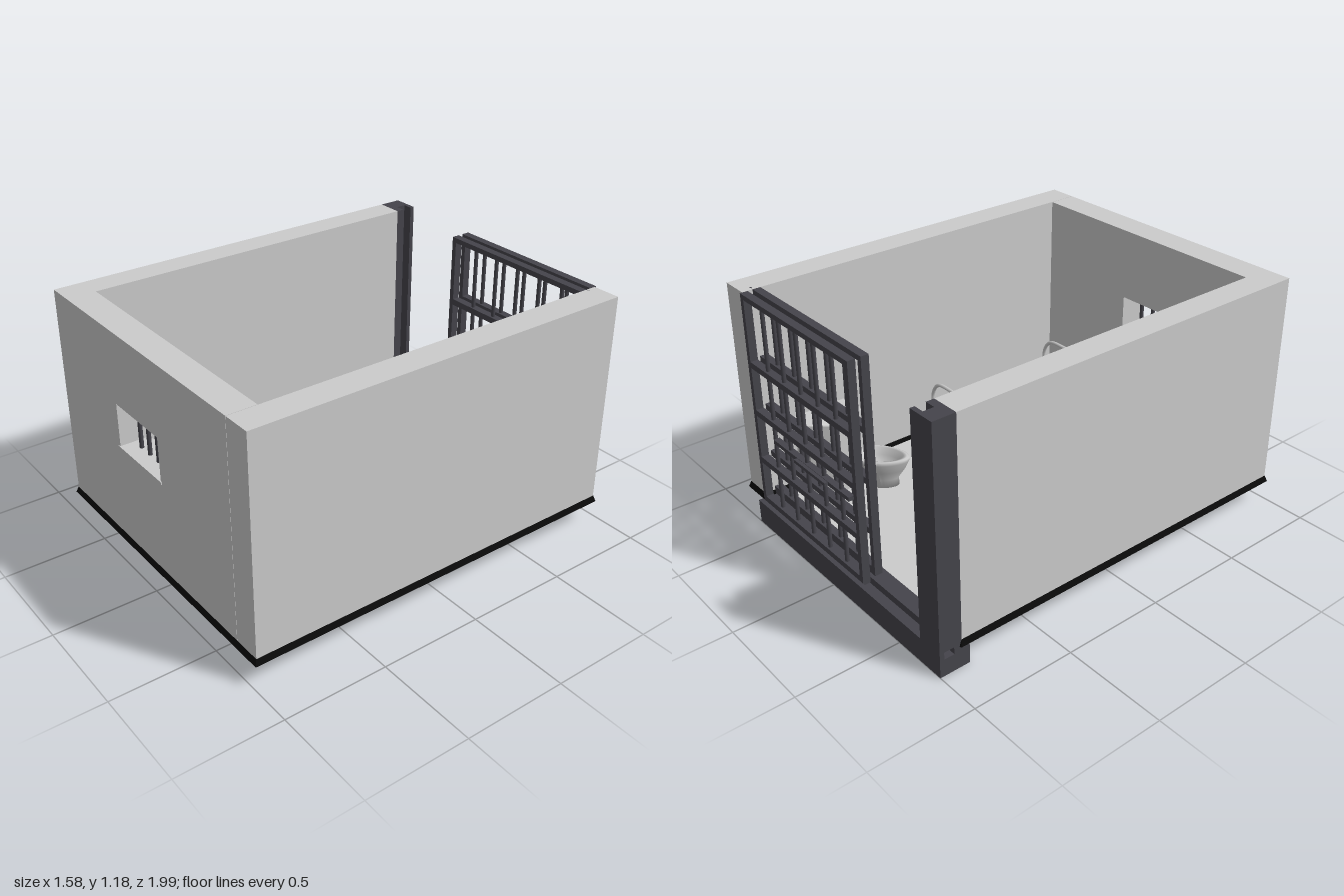
import * as THREE from 'three';

const mat = (color, side = THREE.FrontSide) => new THREE.MeshStandardMaterial({ color, side });
const grey = mat(0xcccccc);
const greyOpen = mat(0xcccccc, THREE.DoubleSide);
const steel = mat(0x45444b);
const black = mat(0x0a0a0a);
const blanketMat = mat(0x53535b);
const wood = mat(0xe0ad8e);

const FLOOR = 0.118, TOP = 1.18;

function add(parent, name, geometry, material) {
  const m = new THREE.Mesh(geometry, material);
  m.name = name;
  parent.add(m);
  return m;
}

// Box given by its limits on each axis
function box(parent, name, material, [x0, x1], [y0, y1], [z0, z1]) {
  const g = new THREE.BoxGeometry(x1 - x0, y1 - y0, z1 - z0);
  g.translate((x0 + x1) / 2, (y0 + y1) / 2, (z0 + z1) / 2);
  return add(parent, name, g, material);
}

// Upright round bar
function rod(parent, name, material, x, z, y0, y1, r) {
  const g = new THREE.CylinderGeometry(r, r, y1 - y0, 12);
  g.translate(x, (y0 + y1) / 2, z);
  return add(parent, name, g, material);
}

const polygon = pts => new THREE.Shape(pts.map(([a, b]) => new THREE.Vector2(a, b)));

// Raise a floor plan (shape y = -z) from y0 to y1
function raise(shape, y0, y1) {
  const g = new THREE.ExtrudeGeometry(shape, { depth: y1 - y0, bevelEnabled: false, curveSegments: 32 });
  return g.rotateX(-Math.PI / 2).translate(0, y0, 0);
}

// Black footing, flared outwards at its base
function footing(parent, [x0, x1], [z0, z1]) {
  const w = x1 - x0, d = z1 - z0, f = 0.01;
  const g = new THREE.BoxGeometry(w + 0.002, 0.03, d + 0.002);
  const p = g.attributes.position;
  for (let i = 0; i < p.count; i++) {
    if (p.getY(i) > 0) continue;
    p.setX(i, p.getX(i) + Math.sign(p.getX(i)) * f);
    p.setZ(i, p.getZ(i) + Math.sign(p.getZ(i)) * f);
  }
  g.computeVertexNormals();
  g.translate((x0 + x1) / 2, 0.125, (z0 + z1) / 2);
  add(parent, 'footing', g, black);
}

function buildRoom(root) {
  const room = new THREE.Group();
  room.name = 'room';
  root.add(room);
  box(room, 'floor', grey, [-0.66, 0.65], [0.112, FLOOR], [-0.86, 0.85]);
  box(room, 'rightWall', grey, [-0.78, -0.65], [0.125, TOP], [-0.89, 0.84]);
  box(room, 'leftWall', grey, [0.642, 0.78], [0.125, TOP], [-0.96, 0.98]);
  footing(room, [-0.78, -0.65], [-0.89, 0.98]);
  footing(room, [0.642, 0.78], [-0.96, 0.98]);
  footing(room, [-0.78, 0.78], [0.84, 0.98]);

  // Front wall with a window opening
  const wall = polygon([[-0.78, 0.125], [0.64, 0.125], [0.64, TOP], [-0.78, TOP]]);
  wall.holes.push(polygon([[-0.26, 0.615], [-0.26, 0.83], [0.093, 0.83], [0.093, 0.615]]));
  const g = new THREE.ExtrudeGeometry(wall, { depth: 0.14, bevelEnabled: false });
  add(room, 'frontWall', g.translate(0, 0, 0.84), grey);
  box(room, 'windowSill', grey, [-0.268, 0.101], [0.607, 0.62], [0.835, 0.985]);
  for (let i = 0; i < 4; i++) rod(room, 'windowBar', steel, -0.195 + i * 0.075, 0.91, 0.61, 0.835, 0.01);
}

// One barred panel of the gate
function gatePanel(root, name, x0, x1, z, y0) {
  const panel = new THREE.Group();
  panel.name = name;
  root.add(panel);
  const h = 0.019;
  box(panel, 'topRail', steel, [x0, x1], [TOP - 0.025, TOP], [z - h, z + h]);
  box(panel, 'bottomRail', steel, [x0, x1], [y0, y0 + 0.04], [z - h, z + h]);
  for (const y of [0.345, 0.595, 0.84]) box(panel, 'crossBar', steel, [x0, x1], [y - 0.015, y + 0.015], [z - h, z + h]);
  for (const x of [x0, x1 - 0.024]) box(panel, 'stile', steel, [x, x + 0.024], [y0, TOP], [z - h, z + h]);
  const n = 6;
  for (let i = 1; i < n; i++) {
    rod(panel, 'bar', steel, x0 + 0.012 + i * (x1 - x0 - 0.024) / n, z, y0 + 0.02, TOP - 0.01, 0.01);
  }
  return panel;
}

function buildGate(root) {
  // Threshold beam with its runner groove (profile is -z, y)
  const beam = polygon([[0.85, 0], [1, 0], [1, 0.12], [0.978, 0.12], [0.978, 0.085],
    [0.928, 0.085], [0.928, 0.12], [0.85, 0.12]]);
  const bg = new THREE.ExtrudeGeometry(beam, { depth: 1.42, bevelEnabled: false });
  add(root, 'threshold', bg.rotateY(Math.PI / 2).translate(-0.78, 0, 0), steel);

  // Grooved door post
  const post = polygon([[-0.78, 0.89], [-0.65, 0.89], [-0.65, 0.928], [-0.7, 0.928],
    [-0.7, 0.978], [-0.65, 0.978], [-0.65, 1], [-0.78, 1]]);
  add(root, 'doorPost', raise(post, 0.12, TOP), steel);

  const outer = gatePanel(root, 'outerGate', -0.2, 0.64, -0.953, 0.1);
  gatePanel(root, 'innerGate', -0.2, 0.672, -0.89, 0.12);
  // Serving slot rail and ledge
  box(outer, 'slotRail', steel, [-0.13, 0.48], [0.495, 0.515], [-0.97, -0.94]);
  box(outer, 'slotLedge', steel, [0.03, 0.28], [0.497, 0.513], [-0.987, -0.94]);
}

function buildBed(root) {
  const bed = new THREE.Group();
  bed.name = 'bed';
  root.add(bed);
  // Hooped ends
  const pts = [[0.282, 0.106], [0.282, 0.25], [0.282, 0.37], [0.325, 0.43], [0.435, 0.44],
    [0.545, 0.43], [0.588, 0.37], [0.588, 0.25], [0.588, 0.106]];
  for (const z of [0.002, 0.758]) {
    const curve = new THREE.CatmullRomCurve3(pts.map(([x, y]) => new THREE.Vector3(x, y, z)));
    add(bed, 'bedEnd', new THREE.TubeGeometry(curve, 48, 0.009, 8), grey);
  }
  box(bed, 'bedFrame', grey, [0.28, 0.592], [0.24, 0.262], [0, 0.76]);
  box(bed, 'mattress', grey, [0.276, 0.596], [0.262, 0.315], [0.01, 0.75]);
  box(bed, 'blanket', blanketMat, [0.272, 0.6], [0.258, 0.321], [0.04, 0.7]);
}

function buildWashUnit(root) {
  const unit = new THREE.Group();
  unit.name = 'washUnit';
  root.add(unit);
  // Faceted cabinet with a basin sunk in its top
  const plan = polygon([[0.645, 0.48], [0.645, 0.77], [0.52, 0.77], [0.45, 0.68], [0.45, 0.55], [0.51, 0.48]]);
  const lower = plan.clone();
  add(unit, 'cabinet', raise(lower, FLOOR, 0.39), grey);
  const hole = new THREE.Path();
  hole.absellipse(0.53, 0.625, 0.072, 0.105, 0, Math.PI * 2, true);
  plan.holes.push(hole);
  add(unit, 'cabinetTop', raise(plan, 0.39, 0.49), grey);
  const bowl = new THREE.SphereGeometry(1, 32, 12, 0, Math.PI * 2, Math.PI / 2, Math.PI / 2);
  add(unit, 'basin', bowl.scale(0.073, 0.09, 0.106).translate(0.53, 0.488, -0.625), greyOpen);

  // Toilet: lathed bowl drawn out into an egg
  const profile = [[0, FLOOR], [0.05, FLOOR], [0.05, 0.16], [0.07, 0.21], [0.085, 0.26], [0.085, 0.275],
    [0.078, 0.279], [0.066, 0.277], [0.056, 0.24], [0.035, 0.2], [0, 0.19]];
  const g = new THREE.LatheGeometry(profile.map(([r, y]) => new THREE.Vector2(r, y)), 40);
  const p = g.attributes.position;
  for (let i = 0; i < p.count; i++) {
    const x = p.getX(i);
    p.setZ(i, p.getZ(i) * (1 - x * 2));
    p.setX(i, x * 1.6);
  }
  g.computeVertexNormals();
  const toilet = add(unit, 'toilet', g, greyOpen);
  toilet.position.set(0.39, 0, -0.46);
  toilet.rotation.y = Math.PI + 0.71;
}

function buildDesk(root) {
  // Quarter-round desk and shelf in the corner
  for (const [name, r, y] of [['desk', 0.39, 0.4], ['cornerShelf', 0.2, 0.62]]) {
    const s = new THREE.Shape();
    s.moveTo(-0.65, -0.84);
    s.absarc(-0.65, -0.84, r, 0, Math.PI / 2, false);
    add(root, name, raise(s, y, y + 0.025), wood);
  }
  const stool = new THREE.Group();
  stool.name = 'stool';
  root.add(stool);
  rod(stool, 'stoolPole', grey, -0.307, 0.505, 0.106, 0.29, 0.014);
  const seat = new THREE.CylinderGeometry(0.072, 0.072, 0.025, 32);
  add(stool, 'stoolSeat', seat.translate(-0.307, 0.29, 0.505), grey);
}

export function createModel() {
  const root = new THREE.Group();
  root.name = 'cell';
  buildRoom(root);
  buildGate(root);
  buildBed(root);
  buildWashUnit(root);
  buildDesk(root);
  return root;
}
